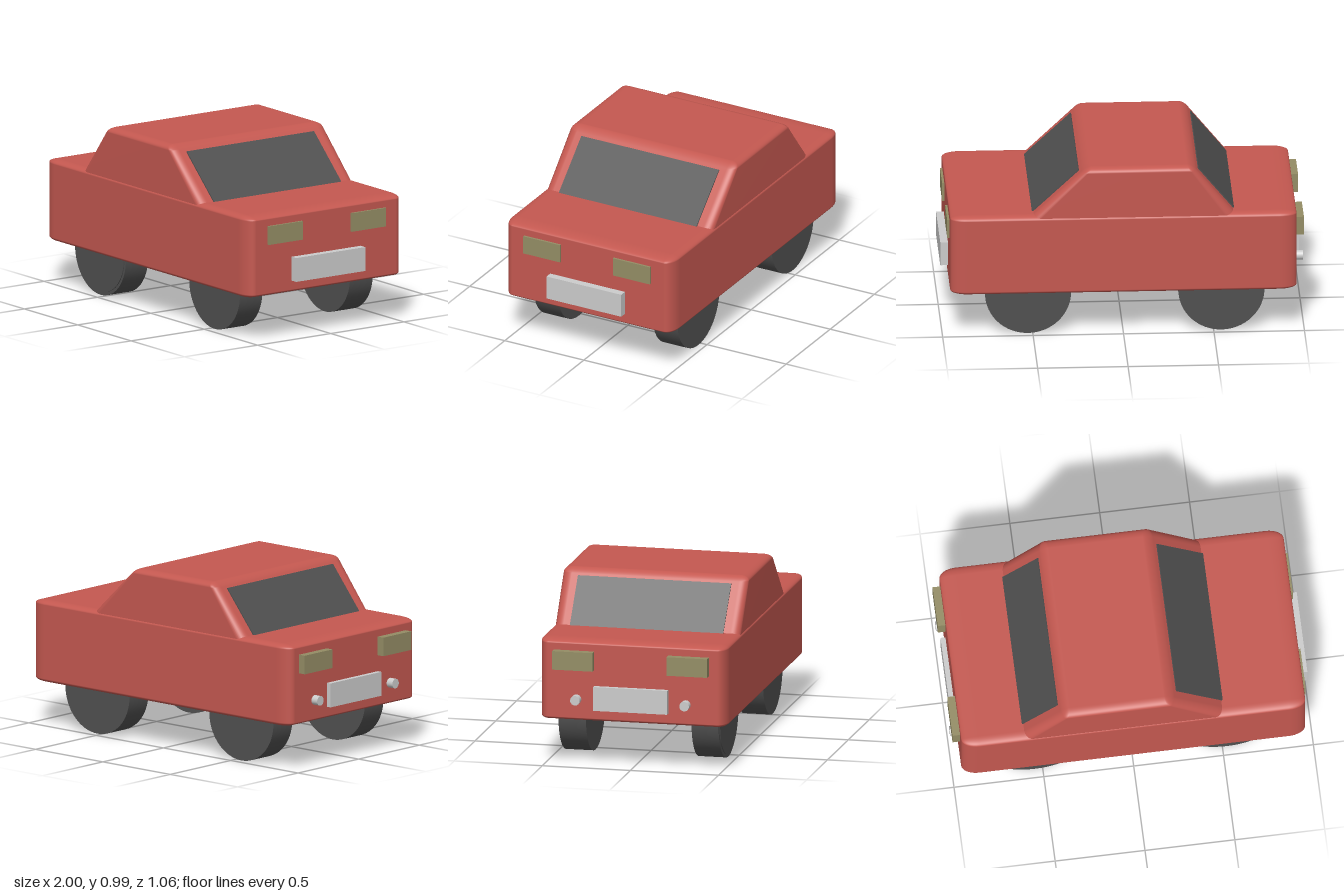
import * as THREE from 'three';
import { RoundedBoxGeometry } from 'three/addons/geometries/RoundedBoxGeometry.js';
import { mergeVertices } from 'three/addons/utils/BufferGeometryUtils.js';

const paint = new THREE.MeshStandardMaterial({ color: 0xc45850 });
const dark = new THREE.MeshStandardMaterial({ color: 0x505050 });
const amber = new THREE.MeshStandardMaterial({ color: 0x948d65 });
const grey = new THREE.MeshStandardMaterial({ color: 0xcccccc });

export function createModel() {
  const car = new THREE.Group();
  car.name = 'car';

  const add = (name, geometry, material, x = 0, y = 0, z = 0) => {
    const mesh = new THREE.Mesh(geometry, material);
    mesh.name = name;
    mesh.position.set(x, y, z);
    car.add(mesh);
    return mesh;
  };
  // Box given by its limits on each axis
  const block = (name, material, [x0, x1], [y0, y1], [z0, z1]) =>
    add(name, new THREE.BoxGeometry(x1 - x0, y1 - y0, z1 - z0), material,
      (x0 + x1) / 2, (y0 + y1) / 2, (z0 + z1) / 2);

  // Lower body: rounded block, edges stretched with its proportions
  const body = new RoundedBoxGeometry(1, 1, 1, 5, 0.05);
  body.scale(1.915, 0.463, 1.06);
  add('body', body, paint, 0, 0.483, 0);

  // Cabin: rounded block whose ends follow the sloping glass lines
  const backX = y => -0.61 + (y - 0.71) * 0.82;
  const frontX = y => 0.5 - (y - 0.71) * 1.07;
  let cabin = new RoundedBoxGeometry(1, 1, 1, 5, 0.05);
  const p = cabin.attributes.position;
  for (let i = 0; i < p.count; i++) {
    const y = 0.71 + p.getY(i) * 0.56;
    const t = p.getX(i) + 0.5;
    p.setXYZ(i, THREE.MathUtils.lerp(backX(y), frontX(y), t), y, p.getZ(i) * 1.05);
  }
  cabin.deleteAttribute('normal');
  cabin.deleteAttribute('uv');
  cabin = mergeVertices(cabin, 1e-5);
  cabin.computeVertexNormals();
  add('cabin', cabin, paint);

  // Windscreen and rear window: thin panes lying on the slopes
  for (const [name, lineX] of [['windscreen', frontX], ['rearWindow', backX]]) {
    const y0 = 0.7, y1 = 0.95;
    const dx = lineX(y1) - lineX(y0), dy = y1 - y0;
    const pane = add(name, new THREE.BoxGeometry(0.012, Math.hypot(dx, dy), 0.87), dark,
      (lineX(y0) + lineX(y1)) / 2, (y0 + y1) / 2, 0);
    pane.rotation.z = -Math.atan2(dx, dy);
  }

  // Wheels
  for (const x of [-0.543, 0.526]) {
    for (const [side, z0, z1] of [['left', 0.295, 0.448], ['right', -0.46, -0.304]]) {
      const tyre = new THREE.CylinderGeometry(0.238, 0.238, z1 - z0, 64).rotateX(Math.PI / 2);
      add(`${x > 0 ? 'front' : 'rear'}${side === 'left' ? 'Left' : 'Right'}Wheel`,
        tyre, dark, x, 0.24, (z0 + z1) / 2);
    }
  }
  // Slight raised disc on one rear wheel
  add('wheelDisc', new THREE.CylinderGeometry(0.222, 0.222, 0.01, 64).rotateX(Math.PI / 2),
    dark, -0.54, 0.242, 0.448);

  // Lights
  for (const z of [[0.167, 0.4], [-0.4, -0.167]]) block('headlight', amber, [0.92, 0.97], [0.55, 0.655], z);
  for (const z of [[0.205, 0.435], [-0.445, -0.215]]) block('tailLight', amber, [-1, -0.92], [0.55, 0.655], z);

  // Plates and exhaust pipes
  block('frontPlate', grey, [0.92, 1], [0.325, 0.46], [-0.236, 0.236]);
  block('rearPlate', grey, [-0.985, -0.92], [0.325, 0.46], [-0.215, 0.205]);
  for (const z of [-0.315, 0.305]) {
    add('exhaustPipe', new THREE.CylinderGeometry(0.027, 0.027, 0.08, 32).rotateZ(Math.PI / 2),
      grey, -0.96, 0.38, z);
  }
  return car;
}
